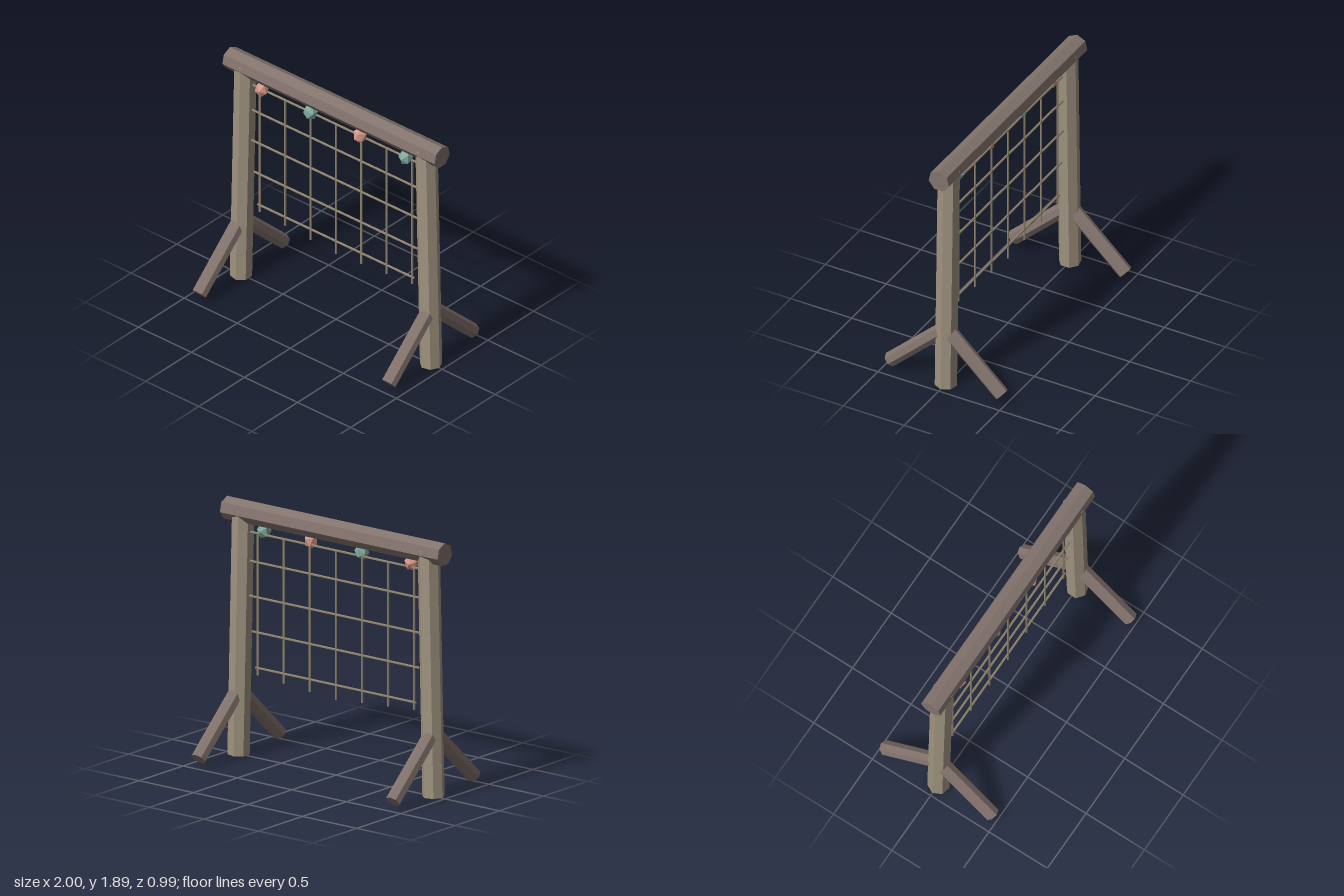
import * as THREE from 'three';

const material = (name, color) => {
  const m = new THREE.MeshStandardMaterial({ color, flatShading: true });
  m.name = name;
  return m;
};

const V = (x, y, z) => new THREE.Vector3(x, y, z);

export function createModel() {
  const group = new THREE.Group();
  const darkWood = material('dark wood', 0x83736d);
  const paleWood = material('pale wood', 0xa09380);
  const ropeMat = material('rope', 0x8e826c);
  const coral = material('coral hold', 0xd4988a);
  const teal = material('teal hold', 0x82ada3);

  // Prism from a to b, with one long edge turned towards "edge"
  function pole(name, mat, a, b, radius, sides, edge) {
    const dir = b.clone().sub(a);
    const mesh = new THREE.Mesh(new THREE.CylinderGeometry(radius, radius, dir.length(), sides), mat);
    const y = dir.normalize();
    const x = y.clone().cross(edge).normalize();
    const z = x.clone().cross(y);
    mesh.quaternion.setFromRotationMatrix(new THREE.Matrix4().makeBasis(x, y, z));
    mesh.position.copy(a).add(b).multiplyScalar(0.5);
    mesh.name = name;
    group.add(mesh);
  }

  // Top beam
  pole('beam', darkWood, V(-1, 1.81, 0), V(1, 1.81, 0), 0.085, 7, V(0, 1, 0));

  // Leaning posts, each with a front and a back brace
  for (const s of [1, -1]) {
    const side = s > 0 ? 'left' : 'right';
    pole(side + 'Post', paleWood, V(s * 0.895, 0.002, 0), V(s * 0.852, 1.825, 0), 0.082, 7, V(s, 0, 0));
    for (const f of [1, -1]) {
      pole(side + (f > 0 ? 'FrontBrace' : 'BackBrace'), darkWood,
        V(s * 0.893, 0.06, f * 0.457), V(s * 0.893, 0.455, f * 0.032), 0.056, 7, V(0, 1, 0));
    }
  }

  // Net: cross ropes narrow downwards, hanging ropes are longest in the middle
  const rows = [[1.665, 0.86], [1.45, 0.832], [1.19, 0.8], [0.93, 0.77], [0.667, 0.737]];
  for (const [y, half] of rows) {
    pole('crossRope', ropeMat, V(-half, y, 0), V(half, y, 0), 0.009, 6, V(0, 1, 0));
  }
  for (let i = -3; i <= 3; i++) {
    const x = i * 0.239;
    pole('hangingRope', ropeMat, V(x, 1.665, 0), V(x, 0.56 + Math.abs(i) * 0.0175, 0), 0.009, 6, V(0, 0, 1));
  }

  // Faceted climbing holds below the beam
  [-0.675, -0.217, 0.25, 0.68].forEach((x, i) => {
    const geo = new THREE.IcosahedronGeometry(0.058, 0);
    geo.rotateX(0.5 + i * 0.9);
    geo.rotateY(0.3 + i * 1.3);
    geo.scale(0.93, 1.1, 0.95);
    const hold = new THREE.Mesh(geo, i % 2 ? teal : coral);
    hold.name = 'hold';
    hold.position.set(x, 1.69, 0.026);
    group.add(hold);
  });

  return group;
}
